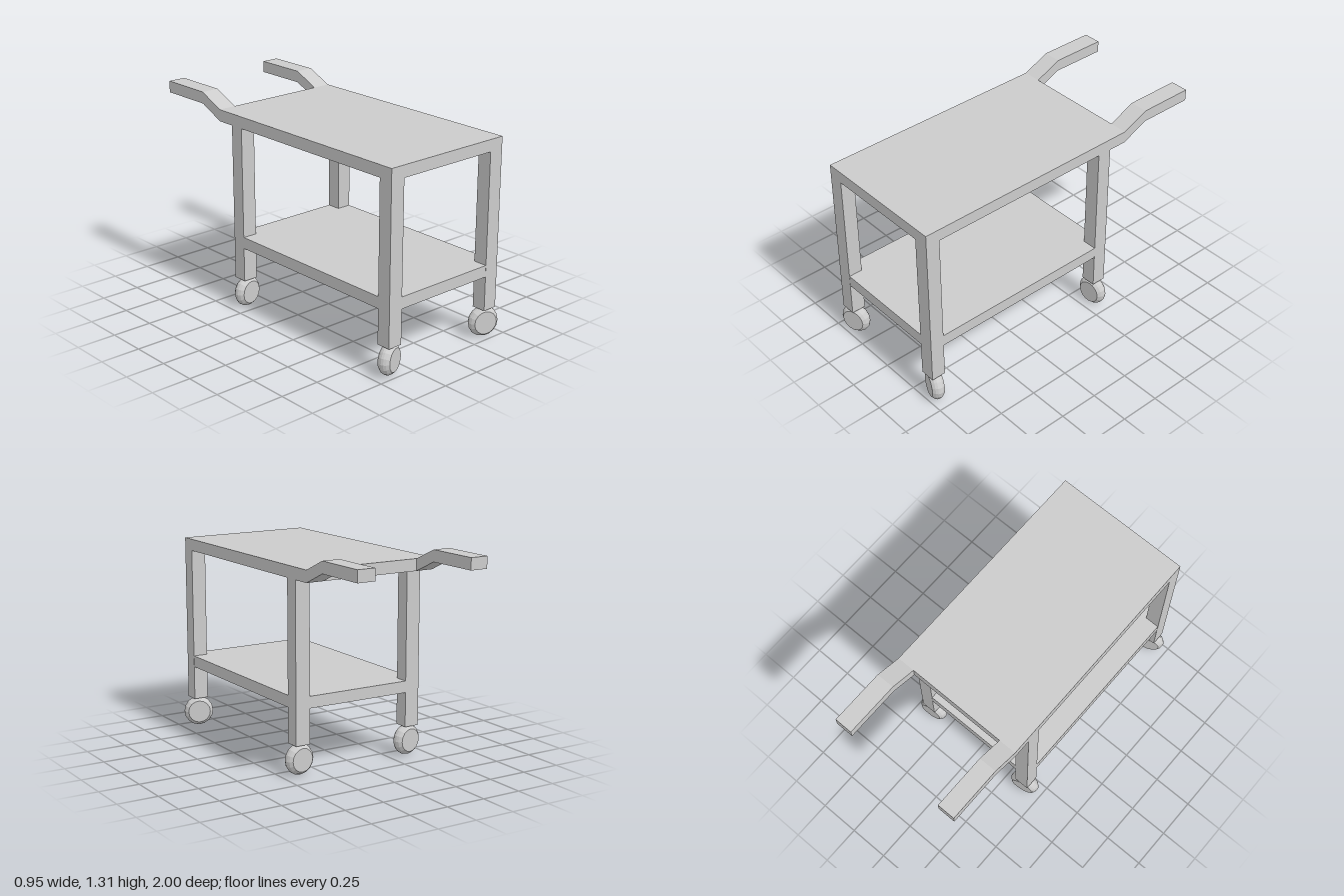
import * as THREE from 'three';

const OFFSET_X = -0.003; // frame centre line
const FRONT = 0.99, REAR = -0.373;
const LEG_W = 0.094, LEG_D = 0.09, WIDTH = 0.864;
const AXLE = 0.0935;

export function createModel() {
  const model = new THREE.Group();
  const material = new THREE.MeshStandardMaterial({ color: 0xcccccc, flatShading: true });

  function add(name, geometry, x, y, z) {
    const mesh = new THREE.Mesh(geometry, material);
    mesh.name = name;
    mesh.position.set(x, y, z);
    model.add(mesh);
    return mesh;
  }

  // Box given by its extents in y and z, centred on x
  function slab(name, x, width, y0, y1, z0, z1) {
    return add(name, new THREE.BoxGeometry(width, y1 - y0, z1 - z0), x, (y0 + y1) / 2, (z0 + z1) / 2);
  }

  // Table top, and lower shelf set between the legs
  slab('tableTop', OFFSET_X, WIDTH, 1.16, 1.233, -0.49, FRONT);
  slab('lowerShelf', OFFSET_X, WIDTH - 0.002, 0.4, 0.472, REAR + 0.001, FRONT - 0.001);

  // Cranked push handle, drawn as a side profile with x = -z
  const handleShape = new THREE.Shape([
    [0.49, 1.16], [0.655, 1.235], [1, 1.235], [1, 1.307], [0.655, 1.307], [0.49, 1.233],
  ].map(([x, y]) => new THREE.Vector2(x, y)));
  const handleWidth = 0.113;
  const handle = new THREE.ExtrudeGeometry(handleShape, { depth: handleWidth, bevelEnabled: false });
  handle.rotateY(Math.PI / 2).translate(-handleWidth / 2, 0, 0);

  // Caster wheel with bevelled rim, facing z
  const wheel = new THREE.LatheGeometry([
    [0, -0.038], [0.071, -0.038], [0.087, -0.022], [0.0935, -0.007],
    [0.0935, 0.007], [0.087, 0.022], [0.071, 0.038], [0, 0.038],
  ].map(([r, y]) => new THREE.Vector2(r, y)), 16);
  wheel.rotateX(Math.PI / 2);

  for (const side of [-1, 1]) {
    const name = side > 0 ? 'left' : 'right';
    add(name + 'Handle', handle, OFFSET_X + side * (WIDTH - handleWidth) / 2, 0, 0);

    // Legs with casters, each swivelled a little differently
    const legX = OFFSET_X + side * (WIDTH - LEG_W) / 2;
    slab(name + 'FrontLeg', legX, LEG_W, 0.185, 1.16, FRONT - LEG_D, FRONT);
    slab(name + 'RearLeg', legX, LEG_W, 0.185, 1.16, REAR, REAR + LEG_D);
    add(name + 'FrontWheel', wheel, side * 0.382, AXLE, 0.94).rotation.y = -side * 0.35;
    add(name + 'RearWheel', wheel, side * 0.382, AXLE, -0.328).rotation.y = side > 0 ? 0.09 : 0.16;
  }
  return model;
}
